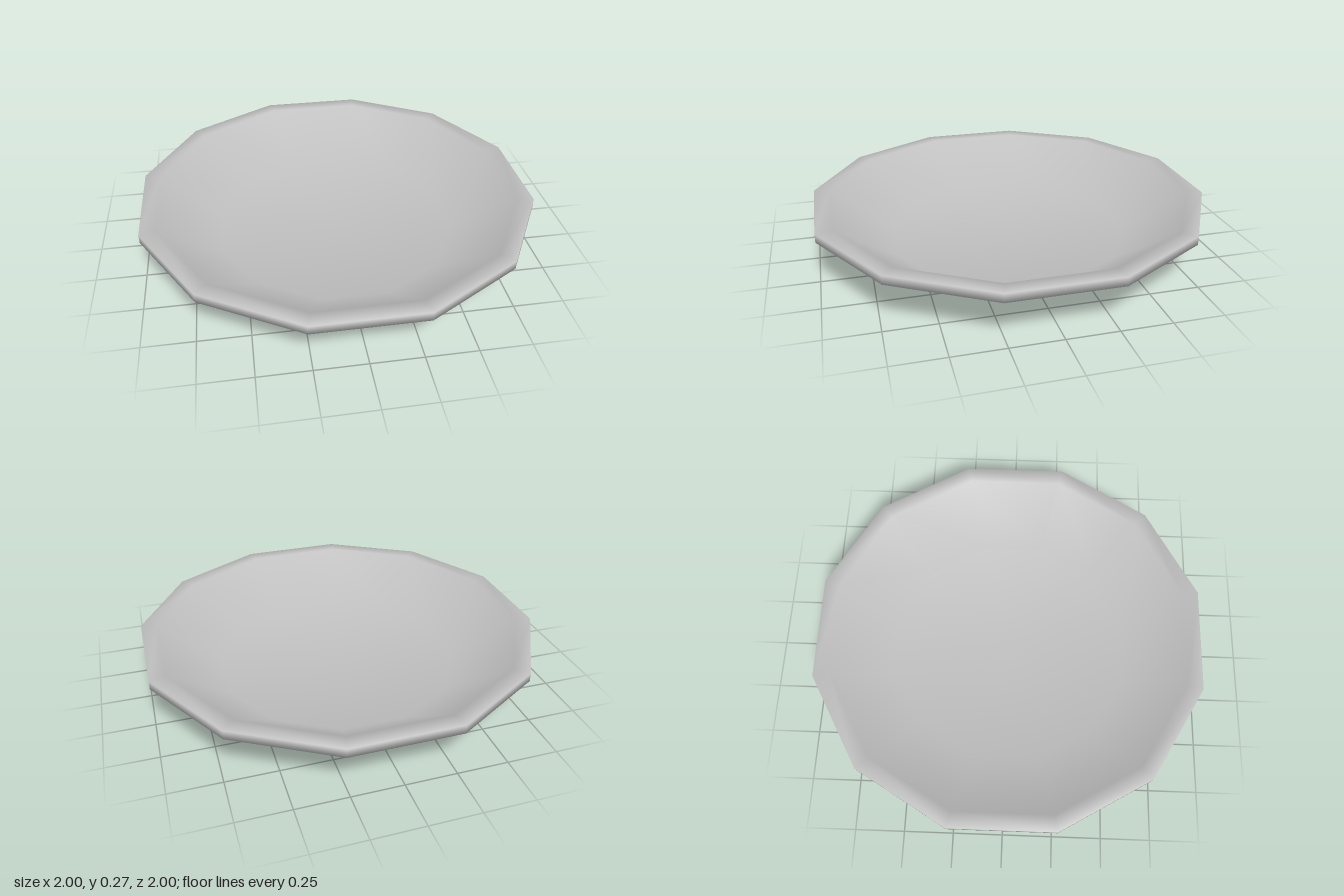
import * as THREE from 'three';

export function createModel() {
  const group = new THREE.Group();
  group.name = 'plate';

  const ceramic = new THREE.MeshStandardMaterial({ color: 0xc0c0c0 });
  ceramic.name = 'greyCeramic';

  // Half-widths are measured across the flats of the twelve-sided dish
  const sides = 12;
  const toCorner = 1 / Math.cos(Math.PI / sides);
  const profile = [
    [0, 0],         // underside centre
    [0.635, 0],     // foot
    [1, 0.222],     // outer wall
    [1, 0.267],     // rim edge
    [0.92, 0.267],  // rim inner lip
    [0.61, 0.045],  // inner floor edge
    [0, 0.045],     // inner floor centre
  ].map(([halfWidth, y]) => new THREE.Vector2(halfWidth * toCorner, y));

  // Smooth-shaded dish, turned so that flats face the axes
  const dish = new THREE.Mesh(
    new THREE.LatheGeometry(profile, sides, Math.PI / sides, Math.PI * 2),
    ceramic,
  );
  dish.name = 'dish';
  group.add(dish);

  return group;
}
